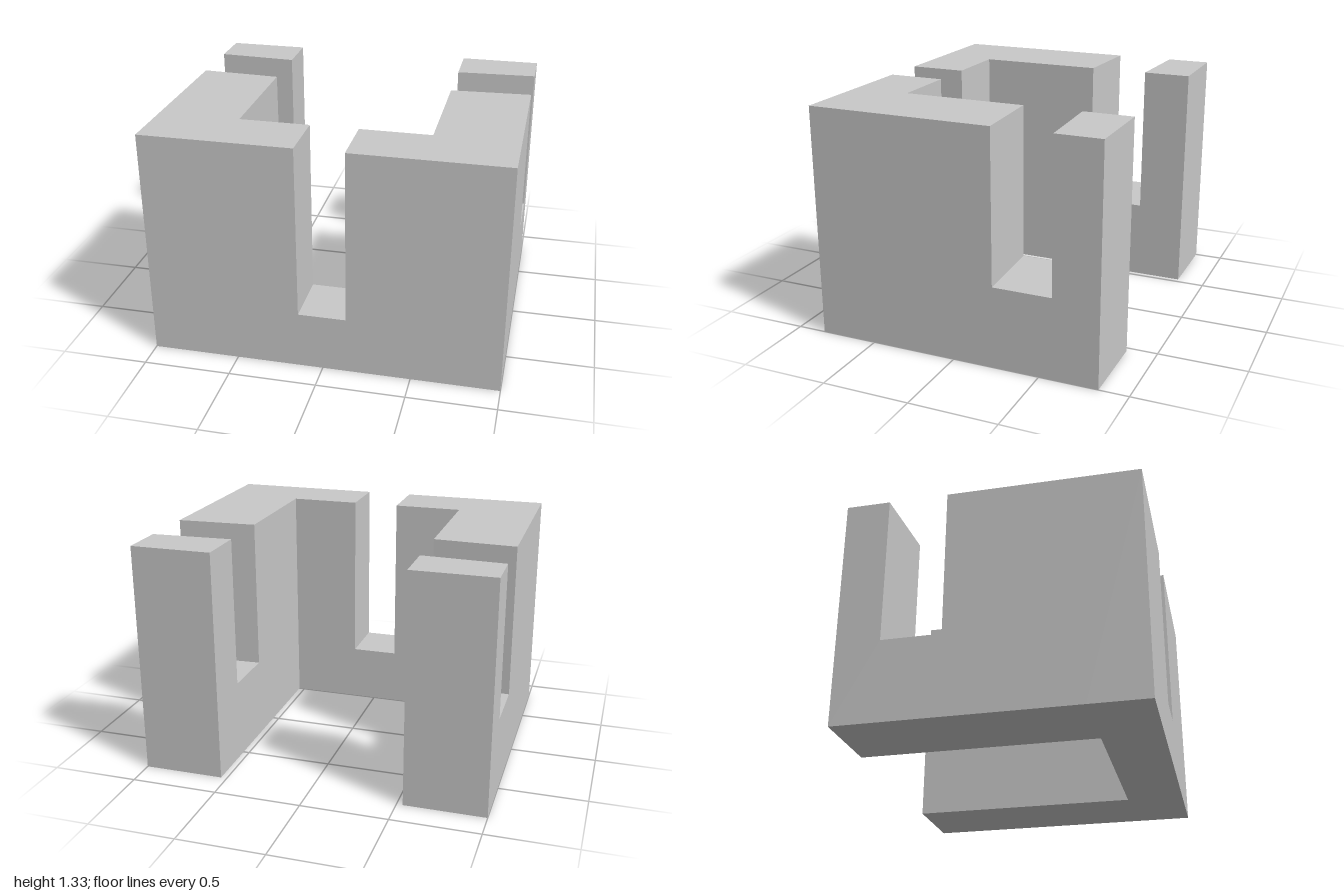
import * as THREE from 'three';

const HEIGHT = 1.333, HALF_DEPTH = 0.833;
const INNER_X = 0.535, INNER_Z = 0.5;

// Rectangular wall outline from a to b with a slot cut down from the top edge
function slottedProfile(a, b, slotA, slotB, floor) {
  return new THREE.Shape([
    [a, 0], [b, 0], [b, HEIGHT], [slotB, HEIGHT],
    [slotB, floor], [slotA, floor], [slotA, HEIGHT], [a, HEIGHT],
  ].map(([u, v]) => new THREE.Vector2(u, v)));
}

const extrude = (shape, depth) =>
  new THREE.ExtrudeGeometry(shape, { depth, bevelEnabled: false });

// Side wall whose slot slants slightly towards the front on its inner face
function sideWallGeometry(side, slotFront, slotBack) {
  const thickness = 1 - INNER_X;
  const shape = slottedProfile(-INNER_Z, HALF_DEPTH, -slotFront, -slotBack, 0.467);
  const geometry = extrude(shape, thickness);
  geometry.rotateY(Math.PI / 2);
  geometry.translate(side > 0 ? INNER_X : -1, 0, 0);
  const p = geometry.attributes.position;
  for (let i = 0; i < p.count; i++) {
    const z = p.getZ(i);
    const inSlot = z < -0.1 && z > -0.7;
    if (inSlot) p.setZ(i, z + 0.0235 * (1 - Math.abs(p.getX(i))) / thickness);
  }
  geometry.computeVertexNormals();
  return geometry;
}

export function createModel() {
  const group = new THREE.Group();
  group.name = 'slottedBracket';
  const lightGrey = new THREE.MeshStandardMaterial({ color: 0xc8c8c8 });
  lightGrey.name = 'lightGrey';

  const add = (name, geometry) => {
    const mesh = new THREE.Mesh(geometry, lightGrey);
    mesh.name = name;
    group.add(mesh);
    return mesh;
  };

  // Front wall with a straight central slot
  const front = extrude(slottedProfile(-1, 1, -0.137, 0.134, 0.335), HALF_DEPTH - INNER_Z);
  add('frontWall', front).position.z = INNER_Z;

  // Side walls reaching back from the front wall
  add('leftWall', sideWallGeometry(1, -0.235, -0.572));
  add('rightWall', sideWallGeometry(-1, -0.246, -0.583));

  return group;
}
